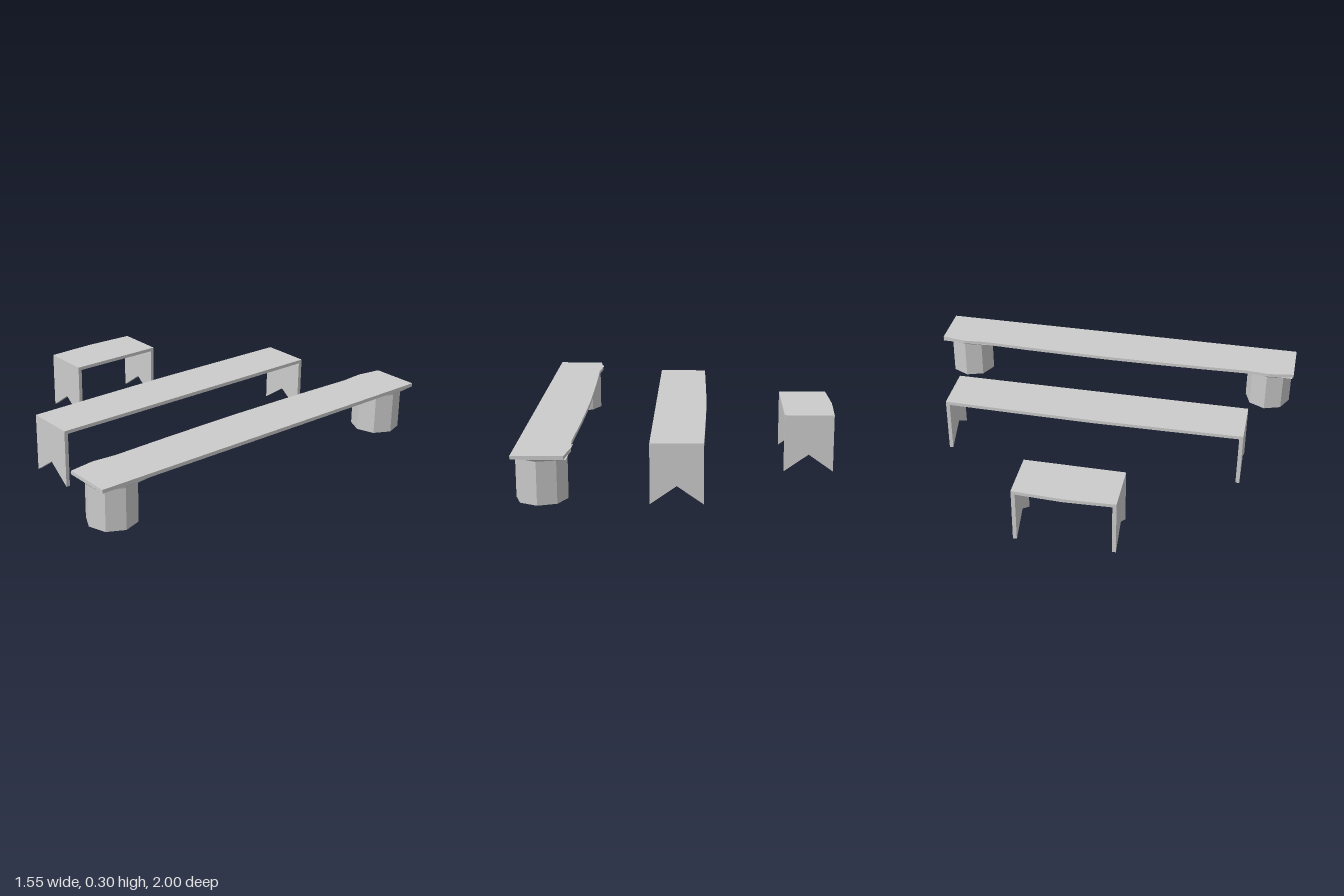
import * as THREE from 'three';

const TOP = 0.298, THICK = 0.018;
const solid = new THREE.MeshStandardMaterial({ color: 0xcccccc, flatShading: true });
const open = new THREE.MeshStandardMaterial({ color: 0xcccccc, flatShading: true, side: THREE.DoubleSide });

function add(parent, name, geometry, material = solid) {
  const mesh = new THREE.Mesh(geometry, material);
  mesh.name = name;
  parent.add(mesh);
  return mesh;
}

function extrude(points, depth) {
  const shape = new THREE.Shape(points.map(([x, y]) => new THREE.Vector2(x, y)));
  return new THREE.ExtrudeGeometry(shape, { depth, bevelEnabled: false });
}

// Flat seat: straight edge on +x, worn wavy edge given as half of [x, z], mirrored in z
function addSeat(parent, xMax, halfEdge) {
  const mirrored = halfEdge.filter(p => p[1] > 0).map(([x, z]) => [x, -z]).reverse();
  const end = halfEdge[0][1];
  const geo = extrude([[xMax, -end], [xMax, end], ...halfEdge, ...mirrored], THICK);
  geo.rotateX(-Math.PI / 2);
  geo.translate(0, TOP - THICK, 0);
  add(parent, 'seat', geo);
}

// Bench on two notched plank legs
function plankBench(name, x0, x1, halfLength) {
  const bench = new THREE.Group();
  bench.name = name;
  addSeat(bench, x1, [
    [x0, halfLength], [x0 - 0.006, halfLength * 0.5], [x0 - 0.011, 0],
  ]);
  const legTop = TOP - THICK;
  for (const s of [1, -1]) {
    const leg = add(bench, 'plankLeg', extrude(
      [[x0, 0], [(x0 + x1) / 2, 0.09], [x1, 0], [x1, legTop], [x0, legTop]], 0.02));
    leg.position.z = s > 0 ? halfLength - 0.02 : -halfLength;
  }
  return bench;
}

// Sloped collar from the round support out to the rectangular seat end
function collarGeometry(cx, cz, r, turn) {
  const s = Math.sign(cz), pos = [], index = [], n = 8;
  for (let i = 0; i < n; i++) {
    const a = turn + i * Math.PI * 2 / n;
    const dx = Math.sin(a) * r, dz = Math.cos(a) * r;
    const x = THREE.MathUtils.clamp(cx + dx * 1.6, 0.515, 0.772);
    const z = s * THREE.MathUtils.clamp(s * (cz + dz * 1.6), 0.743, 1);
    pos.push(cx + dx, 0.267, cz + dz, x, TOP - THICK, z);
    const j = (i + 1) % n;
    index.push(2 * i, 2 * j, 2 * j + 1, 2 * i, 2 * j + 1, 2 * i + 1);
  }
  const geo = new THREE.BufferGeometry();
  geo.setAttribute('position', new THREE.Float32BufferAttribute(pos, 3));
  geo.setIndex(index);
  geo.computeVertexNormals();
  return geo;
}

// Long bench on two eight-sided stumps, hollow from below
function stumpBench() {
  const bench = new THREE.Group();
  bench.name = 'stumpBench';
  addSeat(bench, 0.772, [
    [0.53, 1], [0.51, 0.87], [0.52, 0.75], [0.512, 0.5], [0.507, 0.25], [0.504, 0],
  ]);
  const turn = THREE.MathUtils.degToRad(-4), r = 0.123, cx = 0.648;
  for (const cz of [0.865, -0.865]) {
    const stump = add(bench, 'stump',
      new THREE.CylinderGeometry(r, r, 0.209, 8, 1, true, turn), open);
    stump.position.set(cx, 0.1625, cz);
    add(bench, 'collar', collarGeometry(cx, cz, r, turn), open);
  }
  return bench;
}

export function createModel() {
  const model = new THREE.Group();
  model.name = 'benches';
  model.add(plankBench('shortBench', -0.763, -0.51, 0.258));
  model.add(plankBench('longBench', -0.102, 0.154, 0.788));
  model.add(stumpBench());
  return model;
}
